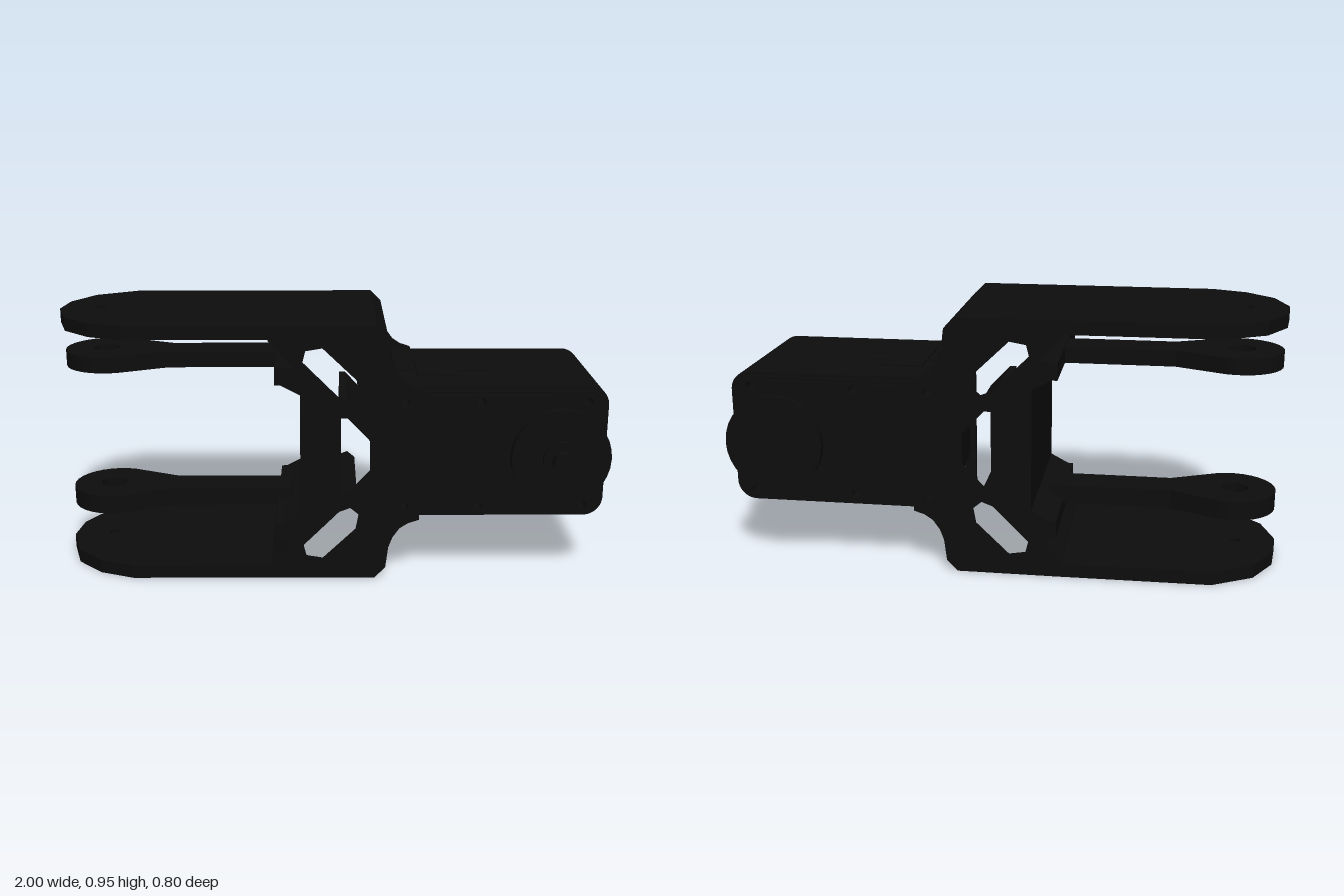
import * as THREE from 'three';

const MID = 0.475;     // height of the mirror plane
const ZC = -0.025;     // depth centre of the bracket
const black = new THREE.MeshStandardMaterial({ color: 0x0d0d0d });
black.name = 'matteBlack';

const shapeOf = pts => new THREE.Shape(pts.map(p => new THREE.Vector2(p[0], p[1])));
const holeOf = pts => new THREE.Path(pts.map(p => new THREE.Vector2(p[0], p[1])));
const flip = pts => pts.map(([x, y]) => [x, 2 * MID - y]).reverse();
const roundHole = (x, y, r) => new THREE.Path().absarc(x, y, r, 0, Math.PI * 2, true);

export function createModel() {
  const model = new THREE.Group();

  const add = (name, geometry, x = 0, y = 0, z = 0) => {
    const mesh = new THREE.Mesh(geometry, black);
    mesh.name = name;
    mesh.position.set(x, y, z);
    model.add(mesh);
    return mesh;
  };
  // Front outline pushed through from z0 to z1
  const slab = (name, shape, z0, z1) =>
    add(name, new THREE.ExtrudeGeometry(shape, { depth: z1 - z0, bevelEnabled: false, curveSegments: 10 }), 0, 0, z0);
  // Plan outline (shape y = -z) raised from y0 to y1
  const plate = (name, shape, y0, y1) => {
    const g = new THREE.ExtrudeGeometry(shape, { depth: y1 - y0, bevelEnabled: false, curveSegments: 10 });
    g.rotateX(-Math.PI / 2);
    return add(name, g, 0, y0, 0);
  };
  // Round part along z
  const disc = (name, r, z0, z1, x, y, sides = 32) => {
    const g = new THREE.CylinderGeometry(r, r, z1 - z0, sides);
    g.rotateX(Math.PI / 2);
    return add(name, g, x, y, (z0 + z1) / 2);
  };

  // Bracket core with its three windows
  const half = [[-0.11, 0.70], [-0.18, 0.737], [-0.2, 0.737], [-0.2, 0.80], [-0.13, 0.80], [-0.22, 0.895],
    [-0.22, 0.95], [0.16, 0.95], [0.20, 0.91], [0.21, 0.83], [0.225, 0.79]];
  const core = shapeOf([...half, ...flip(half)]);
  const slot = [[-0.10, 0.82], [-0.09, 0.86], [-0.03, 0.87], [0.09, 0.755], [0.10, 0.70], [0.07, 0.675], [0.03, 0.69]];
  core.holes.push(holeOf(slot), holeOf(flip(slot)));
  core.holes.push(holeOf([[0.035, 0.335], [0.035, 0.615], [0.06, 0.615], [0.14, 0.53], [0.14, 0.42], [0.06, 0.335]]));
  slab('bracketCore', core, -0.35, 0.30);

  // Outer fork arms with rounded tips
  const outer = shapeOf([[-0.2, 0.35], [-0.76, 0.345], [-0.91, 0.26], [-0.985, 0.13], [-1, 0.0],
    [-0.955, -0.15], [-0.855, -0.25], [-0.73, -0.30], [-0.2, -0.30]]);
  outer.holes.push(roundHole(-0.85, 0.03, 0.02));
  plate('outerArmUpper', outer, 0.90, 0.95);
  plate('outerArmLower', outer, 0.0, 0.05);

  // Slim inner arms ending in a pierced eye
  const inner = new THREE.Shape();
  inner.moveTo(-0.15, -ZC + 0.07);
  inner.lineTo(-0.6, -ZC + 0.07);
  inner.absarc(-0.83, -ZC, 0.16, Math.PI * 0.33, Math.PI * 1.67, false);
  inner.lineTo(-0.6, -ZC - 0.07);
  inner.lineTo(-0.15, -ZC - 0.07);
  inner.holes.push(roundHole(-0.84, -ZC, 0.05));
  plate('innerArmUpper', inner, 0.737, 0.797);
  plate('innerArmLower', inner, 0.19, 0.26);

  // Cheek plates that grip the motor housing
  const screwXs = [0.265, 0.535, 0.915];
  const cheekHalf = [[0.2, 0.86], [0.21, 0.83], [0.225, 0.79], [0.25, 0.755], [0.28, 0.735], [0.32, 0.722]];
  const cheek = shapeOf([...cheekHalf, ...flip(cheekHalf)]);
  for (const y of [0.675, 0.28]) cheek.holes.push(roundHole(0.265, y, 0.016));
  slab('cheekFront', cheek, 0.27, 0.30);
  slab('cheekBack', cheek, -0.35, -0.32);

  // Motor housing: rounded block with through screw holes
  const x0 = 0.22, x1 = 0.97, y0 = 0.255, y1 = 0.695, r = 0.045;
  const body = new THREE.Shape();
  body.moveTo(x0, y0);
  body.lineTo(x1 - r, y0);
  body.absarc(x1 - r, y0 + r, r, -Math.PI / 2, 0, false);
  body.lineTo(x1, y1 - r);
  body.absarc(x1 - r, y1 - r, r, 0, Math.PI / 2, false);
  body.lineTo(x0, y1);
  for (const x of screwXs) for (const y of [0.675, 0.28])
    body.holes.push(roundHole(x, y, x === 0.265 ? 0.012 : 0.014));
  // Holes are widened a little so the bevel does not close them
  body.holes = [];
  for (const x of screwXs) for (const y of [0.672, 0.278]) body.holes.push(roundHole(x, y, 0.016));
  const bodyGeo = new THREE.ExtrudeGeometry(body, { depth: 0.57, bevelEnabled: false, curveSegments: 8 });
  add('motorHousing', bodyGeo, 0, 0, -0.31);

  // Wider middle shell around the housing, open in the centre
  const ring = (m, t) => {
    const s = new THREE.Shape();
    const a = x0 + 0.005, b = x1 + m, c = y0 - m, d = y1 + m, q = r + m;
    s.moveTo(a, c); s.lineTo(b - q, c);
    s.absarc(b - q, c + q, q, -Math.PI / 2, 0, false);
    s.lineTo(b, d - q);
    s.absarc(b - q, d - q, q, 0, Math.PI / 2, false);
    s.lineTo(a, d);
    for (const x of screwXs) for (const y of [0.672, 0.278]) s.holes.push(roundHole(x, y, t));
    return s;
  };
  slab('housingShell', ring(0.025, 0.016), -0.315, 0.255);
  slab('frontCover', ring(0.012, 0.016), 0.255, 0.275);
  slab('frontFace', ring(0.0, 0.016), 0.275, 0.29);
  slab('backCover', ring(0.012, 0.016), -0.33, -0.315);
  slab('backFace', ring(0.0, 0.016), -0.345, -0.33);

  // Cable guides on top and bottom of the housing
  for (const [tag, y] of [['Top', 0.721], ['Bottom', 0.229]]) {
    add('cablePad' + tag, new THREE.BoxGeometry(0.15, 0.012, 0.29), 0.395, y, -0.025);
    for (const z of [-0.07, 0.03])
      add('cableRib' + tag, new THREE.BoxGeometry(0.36, 0.008, 0.015), 0.42, y, z);
  }

  // Output horns, hubs and spindle
  const hx = 0.82;
  disc('frontHub', 0.11, 0.285, 0.31, hx, MID);
  disc('frontHorn', 0.178, 0.305, 0.34, hx, MID);
  disc('frontBoss', 0.068, 0.34, 0.36, hx, MID);
  disc('spindle', 0.037, 0.36, 0.40, hx, MID, 20);
  disc('backHub', 0.115, -0.372, -0.34, hx, MID);
  disc('backHorn', 0.178, -0.40, -0.37, hx, MID);
  for (let i = 0; i < 8; i++) {
    const a = i * Math.PI / 4, x = hx + 0.13 * Math.cos(a), y = MID + 0.13 * Math.sin(a);
    disc('hornBolt', 0.013, 0.338, 0.343, x, y, 12);
  }
  return model;
}
